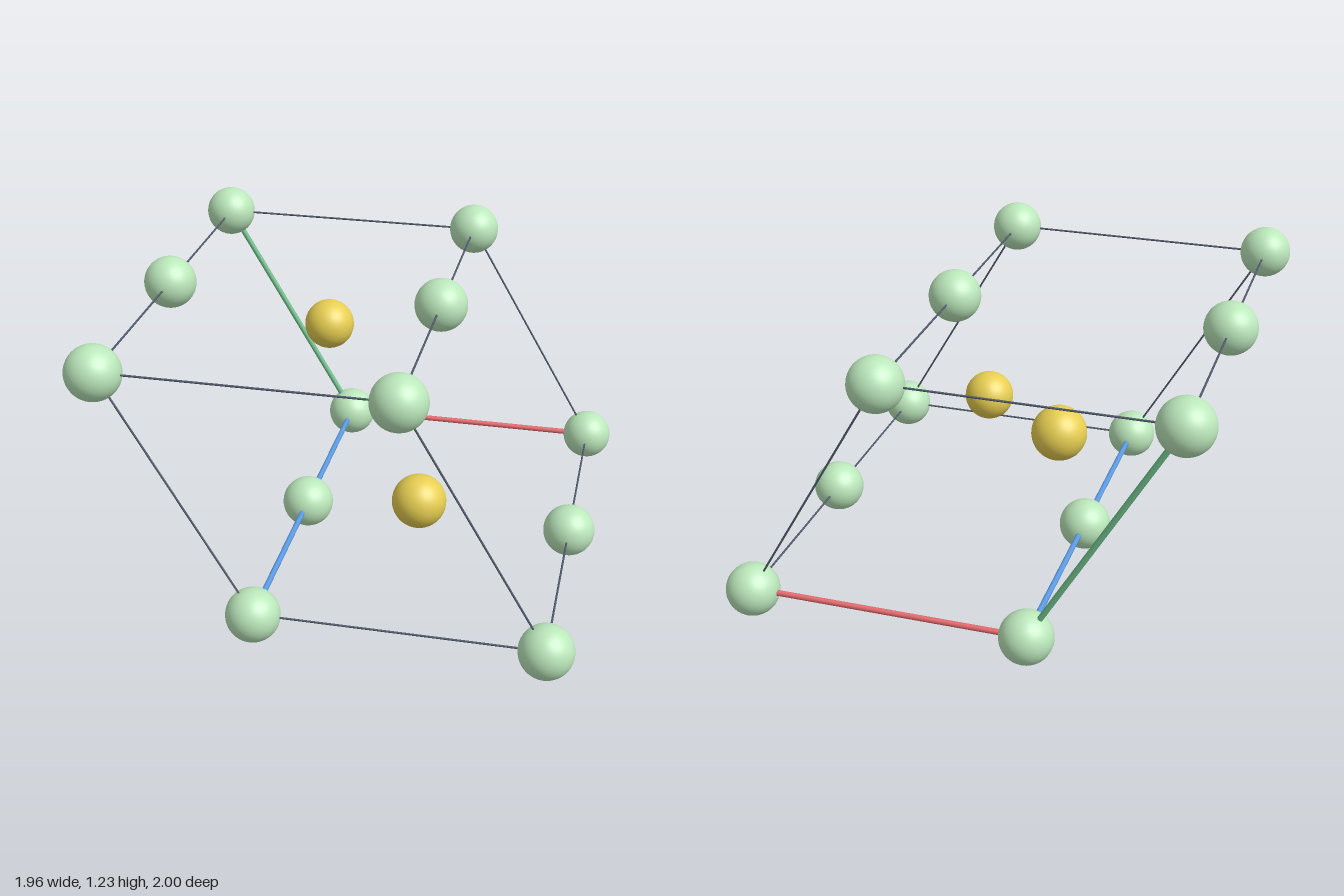
import * as THREE from 'three';

const material = (name, color) => Object.assign(new THREE.MeshStandardMaterial({ color }), { name });

export function createModel() {
  const group = new THREE.Group();
  group.name = 'crystalCell';

  const paleGreen = material('paleGreen', 0xbce8bc);
  const gold = material('gold', 0xe8cf52);
  const darkLine = material('darkLine', 0x505a6c);
  const red = material('red', 0xf07074);
  const green = material('green', 0x70c08c);
  const blue = material('blue', 0x5b9ae4);

  // Cell vectors: a along x, b slanted at 120 degrees, c along z
  const R = 0.11;
  const a = new THREE.Vector3(1.161, 0, 0);
  const b = new THREE.Vector3(-0.5805, 1.0055, 0);
  const c = new THREE.Vector3(0, 0, 1.78);
  const origin = new THREE.Vector3(-0.2903, R, -0.89);
  const at = (u, v, w) => origin.clone().addScaledVector(a, u).addScaledVector(b, v).addScaledVector(c, w);

  // Atoms
  const ball = new THREE.SphereGeometry(R, 40, 28);
  const atom = (name, mat, position) => {
    const mesh = new THREE.Mesh(ball, mat);
    mesh.name = name;
    mesh.position.copy(position);
    group.add(mesh);
  };
  for (const u of [0, 1])
    for (const v of [0, 1])
      for (const w of [0, 0.5, 1]) atom(w === 0.5 ? 'edgeAtom' : 'cornerAtom', paleGreen, at(u, v, w));
  atom('upperInnerAtom', gold, at(1 / 3, 2 / 3, 0.25));
  atom('lowerInnerAtom', gold, at(2 / 3, 1 / 3, 0.75));

  // Straight rods between lattice points
  const rod = (name, mat, radius, from, to) => {
    const dir = to.clone().sub(from);
    const mesh = new THREE.Mesh(new THREE.CylinderGeometry(radius, radius, dir.length(), 12), mat);
    mesh.name = name;
    mesh.position.copy(from).add(to).multiplyScalar(0.5);
    mesh.quaternion.setFromUnitVectors(new THREE.Vector3(0, 1, 0), dir.normalize());
    group.add(mesh);
  };

  // The three edges at the origin are thick coloured axes, the other nine thin dark lines
  const edges = [
    ['redAxis', red, (s, p, q) => at(s, p, q)],
    ['greenAxis', green, (s, p, q) => at(p, s, q)],
    ['blueAxis', blue, (s, p, q) => at(p, q, s)],
  ];
  for (const [name, mat, point] of edges)
    for (const p of [0, 1])
      for (const q of [0, 1]) {
        const axis = p + q === 0;
        rod(axis ? name : 'cellEdge', axis ? mat : darkLine, axis ? 0.012 : 0.0042, point(0, p, q), point(1, p, q));
      }

  return group;
}
